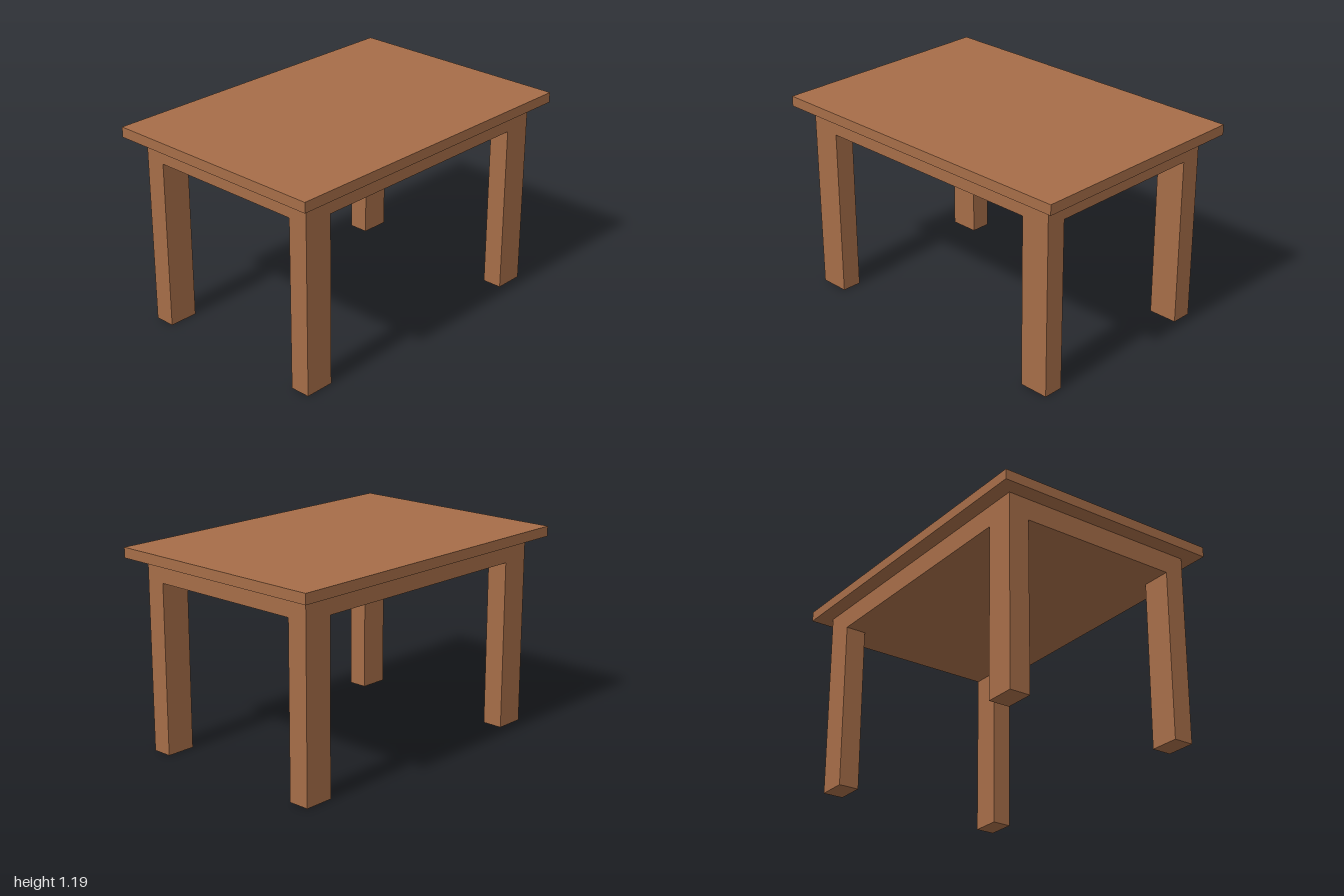
import * as THREE from 'three';

export function createModel() {
  const table = new THREE.Group();
  table.name = 'table';
  const wood = new THREE.MeshStandardMaterial({ color: 0xa66d48 });
  wood.name = 'brown wood';

  // Box given by its minimum and maximum corners
  function box(name, [x0, y0, z0], [x1, y1, z1]) {
    const mesh = new THREE.Mesh(new THREE.BoxGeometry(x1 - x0, y1 - y0, z1 - z0), wood);
    mesh.position.set((x0 + x1) / 2, (y0 + y1) / 2, (z0 + z1) / 2);
    mesh.name = name;
    table.add(mesh);
  }

  const apronBottom = 1.005, topBottom = 1.13, topHeight = 1.19;
  const outerX = 0.907, innerX = 0.73;

  // Overhanging top on a solid apron block
  box('tabletop', [-1, topBottom, -0.692], [1, topHeight, 0.692]);
  box('apron', [-outerX, apronBottom, -0.601], [outerX, topBottom, 0.607]);

  // Four legs flush with the apron's corners
  for (const [end, z0, z1] of [['front', 0.488, 0.607], ['back', -0.601, -0.477]]) {
    box(end + 'LeftLeg', [innerX, 0, z0], [outerX, apronBottom, z1]);
    box(end + 'RightLeg', [-outerX, 0, z0], [-innerX, apronBottom, z1]);
  }
  return table;
}
